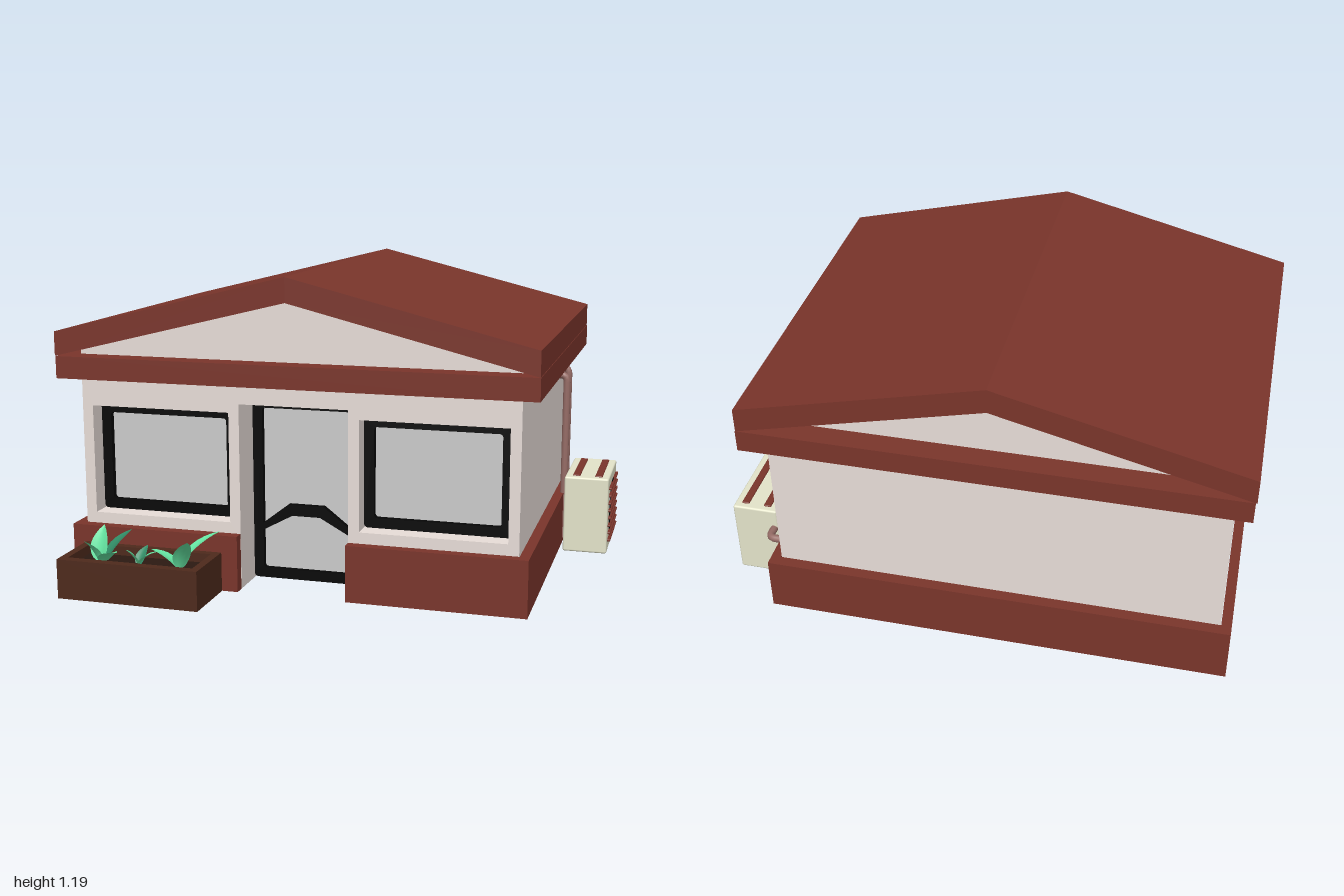
import * as THREE from 'three';
import { RoundedBoxGeometry } from 'three/addons/geometries/RoundedBoxGeometry.js';

const mat = (color, side = THREE.FrontSide) => new THREE.MeshStandardMaterial({ color, side });
const red = mat(0x7a352b), wallMat = mat(0xe8ddd8, THREE.DoubleSide), black = mat(0x060606);
const glassMat = mat(0xcccccc), cream = mat(0xe4e4ca), copper = mat(0x966c66);
const fanMat = mat(0x606064), wood = mat(0x4e2a1c), soilMat = mat(0x2c1a12);
const leafMats = [mat(0x66e8a4, THREE.DoubleSide), mat(0x2f8a64, THREE.DoubleSide)];

// House limits
const X0 = -0.93, X1 = 0.75, Z0 = -0.74, Z1 = 0.54, CX = -0.09;

function add(parent, name, geometry, material, x = 0, y = 0, z = 0) {
  const mesh = new THREE.Mesh(geometry, material);
  mesh.name = name;
  mesh.position.set(x, y, z);
  parent.add(mesh);
  return mesh;
}

// Box given by its limits
function box(parent, name, material, x0, x1, y0, y1, z0, z1, r = 0) {
  const size = [x1 - x0, y1 - y0, z1 - z0];
  const g = r ? new RoundedBoxGeometry(...size, 2, r) : new THREE.BoxGeometry(...size);
  return add(parent, name, g, material, (x0 + x1) / 2, (y0 + y1) / 2, (z0 + z1) / 2);
}

const poly = (pts) => new THREE.Shape(pts.map(([x, y]) => new THREE.Vector2(x, y)));
const rect = (x0, x1, y0, y1) => poly([[x0, y0], [x1, y0], [x1, y1], [x0, y1]]);

function roundedRect(x0, x1, y0, y1, r) {
  const s = new THREE.Shape();
  s.absarc(x1 - r, y1 - r, r, 0, Math.PI / 2);
  s.absarc(x0 + r, y1 - r, r, Math.PI / 2, Math.PI);
  s.absarc(x0 + r, y0 + r, r, Math.PI, Math.PI * 1.5);
  s.absarc(x1 - r, y0 + r, r, Math.PI * 1.5, Math.PI * 2);
  return s;
}

function extrude(shape, depth, holes = []) {
  shape.holes.push(...holes);
  return new THREE.ExtrudeGeometry(shape, { depth, bevelEnabled: false, curveSegments: 5 });
}

// Reveal, frame and pane set into an opening of the front wall
function glazing(parent, name, x0, x1, y0, y1, depth) {
  const g = new THREE.Group(), t = 0.006, w = 0.038, back = Z1 - depth - 0.035;
  g.name = name;
  parent.add(g);
  // The reveal has a sill only when the opening is above the ground
  const reveal = y0 > 0.1
    ? extrude(rect(x0 - t, x1 + t, y0 - t, y1 + t), Z1 - back - 0.002, [rect(x0, x1, y0, y1)])
    : extrude(poly([[x0 - t, 0], [x0, 0], [x0, y1], [x1, y1], [x1, 0], [x1 + t, 0], [x1 + t, y1 + t], [x0 - t, y1 + t]]),
      Z1 - back - 0.002);
  add(g, 'reveal', reveal, wallMat, 0, 0, back);
  add(g, 'frame', extrude(roundedRect(x0, x1, y0, y1, 0.015), 0.035,
    [roundedRect(x0 + w, x1 - w, y0 + w, y1 - w, 0.012)]), black, 0, 0, back);
  box(g, 'pane', glassMat, x0 + 0.015, x1 - 0.015, y0 + 0.015, y1 - 0.015, back - 0.003, back + 0.012);
  return g;
}

function tube(parent, name, pts, r) {
  const path = new THREE.CurvePath();
  const v = pts.map((p) => new THREE.Vector3(...p));
  let from = v[0];
  // Rounded bend at each inner point
  for (let i = 1; i < v.length - 1; i++) {
    const a = v[i].clone().add(v[i - 1].clone().sub(v[i]).setLength(0.028));
    const b = v[i].clone().add(v[i + 1].clone().sub(v[i]).setLength(0.028));
    path.add(new THREE.LineCurve3(from, a));
    path.add(new THREE.QuadraticBezierCurve3(a, v[i], b));
    from = b;
  }
  path.add(new THREE.LineCurve3(from, v[v.length - 1]));
  add(parent, name, new THREE.TubeGeometry(path, 64, r, 10), copper);
}

// Curved, pointed leaf growing from its base
function leaf(parent, x, z, angle, length, lean, width, material) {
  const geo = new THREE.PlaneGeometry(1, 1, 4, 8), p = geo.attributes.position;
  for (let i = 0; i < p.count; i++) {
    const t = p.getY(i) + 0.5, s = p.getX(i);
    const w = width * Math.pow(Math.sin(Math.PI * Math.pow(t, 0.85)), 0.8);
    const bend = lean * (0.6 + 0.6 * t);
    p.setXYZ(i, s * w, length * t * Math.cos(bend), length * t * Math.sin(bend) - Math.abs(s) * w * 0.35);
  }
  geo.computeVertexNormals();
  add(parent, 'leaf', geo, material, x, 0.105, z).rotation.y = angle;
}

export function createModel() {
  const model = new THREE.Group();
  model.name = 'smallShop';

  // Walls: hollow shell with openings in the front
  const openings = [[-0.89, -0.34, 0.257, 0.676], [0.16, 0.71, 0.257, 0.676]];
  const front = poly([[X0, 0.2], [-0.3, 0.2], [-0.3, 0.71], [0.12, 0.71], [0.12, 0.2],
    [X1, 0.2], [X1, 0.85], [X0, 0.85]]);
  openings.forEach((o) => front.holes.push(rect(...o)));
  add(model, 'frontWall', new THREE.ShapeGeometry(front), wallMat, 0, 0, Z1);
  add(model, 'backWall', new THREE.PlaneGeometry(X1 - X0, 0.85), wallMat, CX, 0.425, Z0).rotation.y = Math.PI;
  for (const [name, x, s] of [['leftWall', X1, 1], ['rightWall', X0, -1]]) {
    add(model, name, new THREE.PlaneGeometry(Z1 - Z0, 0.85), wallMat, x, 0.425, (Z0 + Z1) / 2).rotation.y = s * Math.PI / 2;
  }

  // Windows and door
  openings.forEach((o) => glazing(model, 'window', ...o, 0.075));
  const door = glazing(model, 'door', -0.3, 0.12, 0.004, 0.71, 0.15);
  add(door, 'doorRail', extrude(poly([[-0.27, 0.19], [-0.25, 0.2], [-0.145, 0.257], [-0.035, 0.257], [0.07, 0.2],
    [0.09, 0.19], [0.09, 0.215], [-0.02, 0.3], [-0.16, 0.3], [-0.27, 0.215]]), 0.04), black, 0, 0, Z1 - 0.19);

  // Plinth, broken at the door
  const base = new THREE.Group();
  base.name = 'plinth';
  model.add(base);
  const h = 0.215, b = 0.04;
  box(base, 'plinthFrontRight', red, X0 - b, -0.3, 0, h, Z1, Z1 + b);
  box(base, 'plinthFrontLeft', red, 0.12, X1 + b, 0, h, Z1, Z1 + b);
  box(base, 'plinthBack', red, X0 - b, X1 + b, 0, h, Z0 - b - 0.005, Z0 - 0.002);
  box(base, 'plinthRightSide', red, X0 - b, X0 - 0.002, 0, h, Z0 - b, Z1);
  box(base, 'plinthLeftSide', red, X1 + 0.002, X1 + b, 0, h, Z0 - b, Z1);

  // Eave band
  const band = extrude(rect(-0.993, 0.822, -0.622, 0.828), 0.084, [rect(X0 + 0.05, X1 - 0.05, -Z1 + 0.05, -Z0 - 0.05)]);
  add(model, 'eaveBand', band.rotateX(-Math.PI / 2), red, 0, 0.789, 0);

  // Pitched roof slab
  const roof = extrude(poly([[-0.998, 0.873], [CX, 1.098], [0.82, 0.873], [0.82, 0.965], [CX, 1.19], [-0.998, 0.965]]), 1.445);
  add(model, 'roof', roof, red, 0, 0, -0.828);

  // Gable ends
  const gable = new THREE.ShapeGeometry(poly([[X0, 0.85], [X1, 0.85], [X1, 0.892], [CX, 1.1], [X0, 0.892]]));
  for (const z of [Z0, Z1]) add(model, 'gable', gable, wallMat, 0, 0, z);

  // Air conditioner on the left side
  const ac = new THREE.Group();
  ac.name = 'airConditioner';
  model.add(ac);
  box(ac, 'casing', cream, 0.81, 0.988, 0.008, 0.322, -0.615, -0.252, 0.008);
  add(ac, 'fanOpening', new THREE.CylinderGeometry(0.118, 0.118, 0.01, 40), fanMat, 0.987, 0.165, -0.433).rotation.z = Math.PI / 2;
  const rim = add(ac, 'fanRim', new THREE.TorusGeometry(0.118, 0.002, 8, 40), black, 0.991, 0.165, -0.433);
  rim.rotation.y = Math.PI / 2;
  for (let i = 0; i < 8; i++) {
    const y = 0.057 + i * 0.031;
    box(ac, 'grilleSlat', red, 0.985, 1, y - 0.005, y + 0.005, -0.583, -0.283, 0.004);
  }
  for (const x of [0.855, 0.945]) box(ac, 'topVent', red, x - 0.015, x + 0.015, 0.315, 0.327, -0.59, -0.28, 0.005);

  // Pipes from the wall down behind the unit
  for (const [y, z] of [[0.715, -0.413], [0.74, -0.462]]) {
    tube(ac, 'pipe', [[0.74, y, z], [0.79, y, z], [0.79, 0.02, z]], 0.015);
  }
  tube(ac, 'drainPipe', [[0.826, 0.236, -0.6], [0.826, 0.236, -0.668], [0.74, 0.236, -0.668]], 0.015);

  // Planter
  const planter = new THREE.Group();
  planter.name = 'planter';
  model.add(planter);
  const trough = extrude(rect(-0.915, -0.362, -0.825, -0.582), 0.15, [rect(-0.885, -0.392, -0.79, -0.612)]);
  add(planter, 'trough', trough.rotateX(-Math.PI / 2), wood);
  box(planter, 'troughBottom', wood, -0.885, -0.392, 0, 0.02, 0.612, 0.79);
  box(planter, 'soil', soilMat, -0.885, -0.392, 0.02, 0.115, 0.612, 0.79);

  // Leaves: x, z, heading, length, lean, width, shade
  for (const [x, z, a, l, n, w, s] of [
    [-0.81, 0.69, 3, 0.145, 0.25, 0.075, 0], [-0.81, 0.69, -0.5, 0.12, 0.5, 0.06, 0],
    [-0.79, 0.69, 0.9, 0.125, 0.85, 0.07, 0], [-0.79, 0.68, 2.4, 0.16, 0.65, 0.06, 1],
    [-0.65, 0.69, -0.9, 0.085, 0.5, 0.05, 0], [-0.65, 0.69, 1.6, 0.1, 0.75, 0.05, 0],
    [-0.65, 0.69, 2.9, 0.09, 0.6, 0.045, 1], [-0.48, 0.69, 0.7, 0.155, 0.5, 0.07, 0],
    [-0.49, 0.69, -1.5, 0.13, 0.8, 0.055, 0], [-0.49, 0.68, 2.25, 0.205, 0.75, 0.055, 0]]) {
    leaf(planter, x, z, a, l, n, w, leafMats[s]);
  }

  return model;
}
